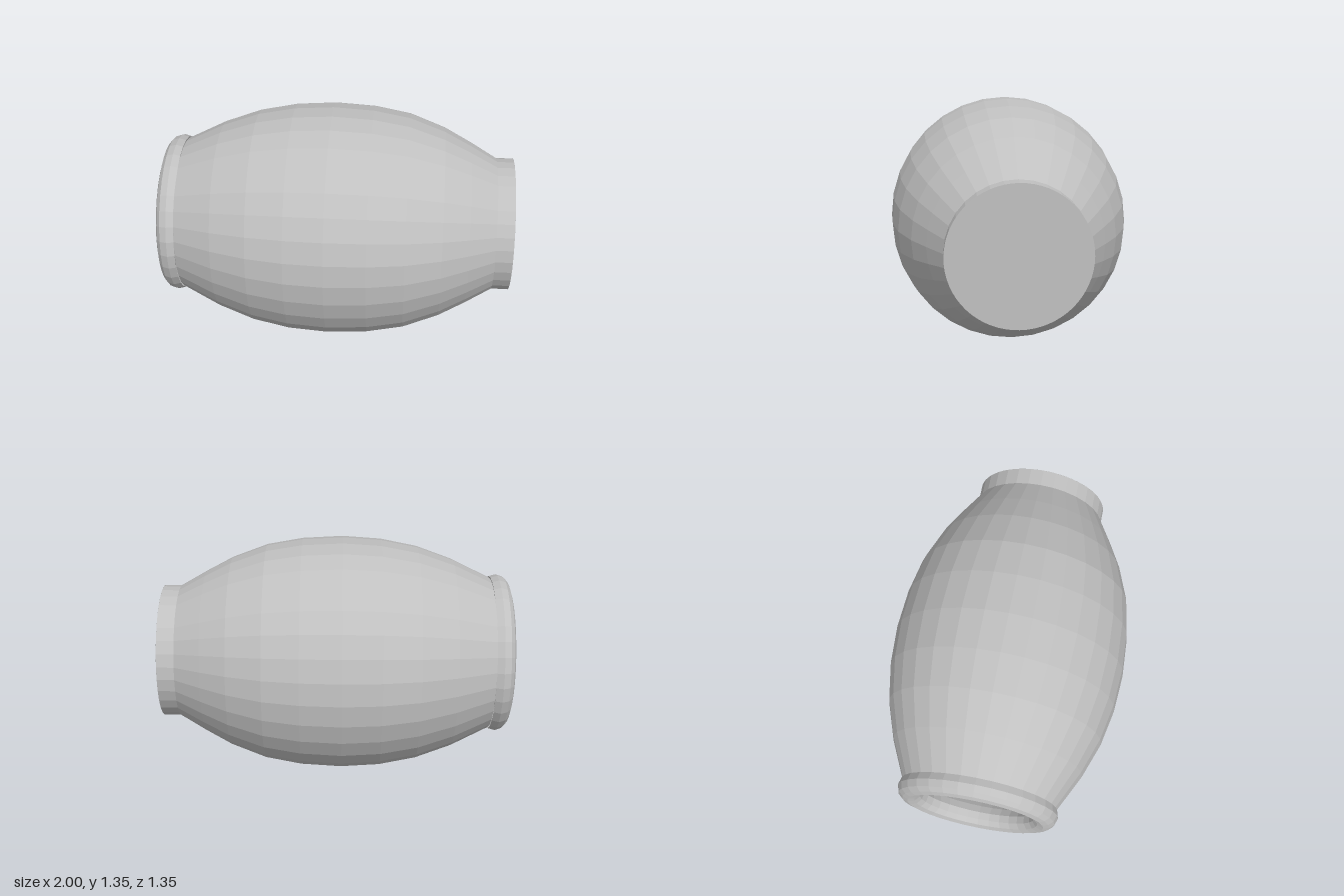
import * as THREE from 'three';

const SIDES = 32;

export function createModel() {
  const clay = new THREE.MeshStandardMaterial({ color: 0xc0c0c0, flatShading: true, side: THREE.DoubleSide });
  clay.name = 'grey clay';

  // Pairs are [position along the pot's axis, radius]
  const belly = [
    [-0.67, 0.547], [-0.465, 0.62], [-0.255, 0.661], [-0.035, 0.675],
    [0.195, 0.662], [0.4, 0.625], [0.6, 0.55], [0.75, 0.47], [0.9, 0.383],
  ];
  const lip = [
    [-0.88, 0.335], [-0.92, 0.318], [-0.96, 0.325], [-0.988, 0.35], [-1, 0.388],
    [-0.99, 0.42], [-0.968, 0.446], [-0.93, 0.458], [-0.89, 0.447],
  ];
  const inside = belly.slice(0, -1).map(([a, r]) => [a, r - 0.06]).reverse();

  const group = new THREE.Group();
  const pot = new THREE.Group();
  pot.name = 'pot';
  // The pot lies on its side, mouth towards -x, tipped very slightly
  pot.rotation.z = -Math.PI / 2 + 0.0065;
  pot.position.y = 0.677;
  group.add(pot);

  const turn = (name, points) => {
    const profile = points.map(([a, r]) => new THREE.Vector2(r, a));
    const mesh = new THREE.Mesh(new THREE.LatheGeometry(profile, SIDES), clay);
    mesh.name = name;
    pot.add(mesh);
  };

  // Hollow interior with a flat floor
  turn('innerWall', [[0.86, 0], [0.86, 0.34], ...inside, lip[0]]);
  // Rounded rim around the mouth
  turn('rim', lip);
  // Bulging outer wall
  turn('body', [[-0.89, 0.44], ...belly]);
  // Short straight foot
  turn('foot', [[0.9, 0.381], [0.998, 0.381]]);

  // Flat underside of the foot
  const base = new THREE.Mesh(new THREE.CircleGeometry(0.381, 64), clay);
  base.name = 'base';
  base.rotation.x = -Math.PI / 2;
  base.position.y = 0.998;
  pot.add(base);

  return group;
}
